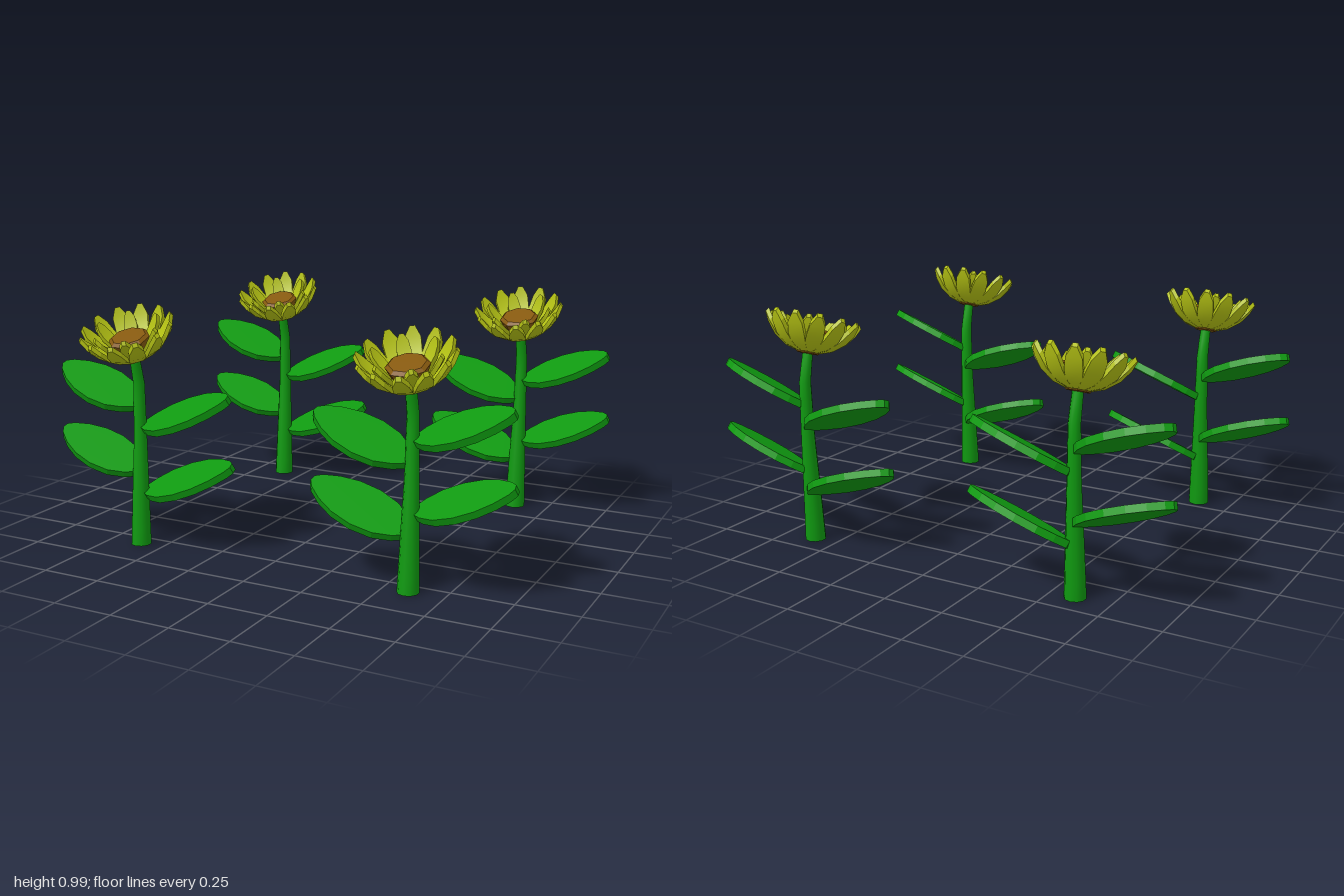
import * as THREE from 'three';
import { toCreasedNormals } from 'three/addons/utils/BufferGeometryUtils.js';

const mat = (name, color) => {
  const m = new THREE.MeshStandardMaterial({ color });
  m.name = name;
  return m;
};

function part(name, geometry, material) {
  const mesh = new THREE.Mesh(geometry, material);
  mesh.name = name;
  return mesh;
}

// Piecewise linear lookup through rows [t, a, b, ...]
function sample(rows, t) {
  let i = 0;
  while (i < rows.length - 2 && t > rows[i + 1][0]) i++;
  const k = (t - rows[i][0]) / (rows[i + 1][0] - rows[i][0]);
  return rows[i].map((v, j) => v + (rows[i + 1][j] - v) * k);
}

// Tapered stem that leans back, then nods forward under the head
function stemGeometry() {
  const rows = [[0, 0, 0.043], [0.22, -0.009, 0.036], [0.45, -0.02, 0.028], [0.68, -0.023, 0.024], [0.81, 0.006, 0.021]];
  const g = new THREE.CylinderGeometry(1, 1, 0.81, 10, 12);
  const p = g.attributes.position;
  for (let i = 0; i < p.count; i++) {
    const y = p.getY(i) + 0.405;
    const [, z, r] = sample(rows, y);
    p.setXYZ(i, p.getX(i) * r, y, p.getZ(i) * r + z);
  }
  return toCreasedNormals(g, 0.9);
}

// Thick oval leaf from root to tip, its blade tilted to the front
function leafGeometry(root, tip, halfWidth) {
  const along = tip.clone().sub(root);
  const length = along.length();
  along.normalize();
  const normal = along.clone().cross(new THREE.Vector3(0, 0.45, -1)).normalize();
  if (normal.y < 0) normal.negate();
  const across = normal.clone().cross(along);

  const outline = [[0, 0.18], [0.1, 0.55], [0.25, 0.87], [0.45, 1], [0.65, 0.92], [0.82, 0.68], [0.95, 0.36], [1, 0.12]];
  const points = [
    ...outline.map(([t, w]) => new THREE.Vector2(t * length, -w * halfWidth)),
    ...outline.slice().reverse().map(([t, w]) => new THREE.Vector2(t * length, w * halfWidth)),
  ];
  const g = new THREE.ExtrudeGeometry(new THREE.Shape(points), { depth: 0.03, bevelEnabled: false });
  g.translate(0, 0, -0.03);
  g.applyMatrix4(new THREE.Matrix4().makeBasis(along, across, normal).setPosition(root));
  return g;
}

// Cupped petal; rows are [t, radius, height, half width]
function petalGeometry(rows) {
  const g = new THREE.BoxGeometry(2, 0.016, 1, 1, 1, rows.length - 1);
  const p = g.attributes.position;
  for (let i = 0; i < p.count; i++) {
    const [, r, h, w] = sample(rows, p.getZ(i) + 0.5);
    p.setXYZ(i, p.getX(i) * w, p.getY(i) + h, r - p.getY(i) * 0.6);
  }
  return toCreasedNormals(g, 0.4);
}

export function createModel() {
  const green = mat('leaf green', 0x0f9910);
  const yellow = mat('petal yellow', 0xb4c214);
  const brown = mat('seed brown', 0x86590f);

  const stem = stemGeometry();
  const outerPetal = petalGeometry([[0, 0.03, 0, 0.014], [0.25, 0.085, 0.018, 0.027], [0.5, 0.135, 0.055, 0.034], [0.75, 0.168, 0.097, 0.03], [1, 0.187, 0.132, 0.01]]);
  const innerPetal = petalGeometry([[0, 0.04, 0.015, 0.014], [0.25, 0.08, 0.04, 0.022], [0.5, 0.108, 0.075, 0.027], [0.75, 0.128, 0.105, 0.022], [1, 0.14, 0.128, 0.008]]);
  const seedProfile = [[0, -0.014], [0.045, -0.01], [0.064, 0.03], [0.084, 0.078], [0.07, 0.09], [0, 0.094]];
  const seeds = toCreasedNormals(
    new THREE.LatheGeometry(seedProfile.map(([x, y]) => new THREE.Vector2(x, y)), 8), 0.3);

  function flowerHead() {
    const head = new THREE.Group();
    head.name = 'flowerHead';
    const disc = part('seedDisc', seeds, brown);
    disc.rotation.y = Math.PI / 8;
    head.add(disc);
    const ring = (name, geometry, count, offset) => {
      for (let i = 0; i < count; i++) {
        const petal = part(name, geometry, yellow);
        petal.rotation.y = ((i + offset) / count) * Math.PI * 2;
        head.add(petal);
      }
    };
    ring('outerPetal', outerPetal, 12, 0.5);
    ring('innerPetal', innerPetal, 6, 0.5);
    head.position.set(0, 0.795, 0.005);
    head.rotation.x = 0.35;
    return head;
  }

  // One plant; side is the x direction of its outer leaves
  function plant(side) {
    const g = new THREE.Group();
    g.name = 'flowerPlant';
    g.add(part('stem', stem, green), flowerHead());
    for (const [drop, reach] of [[0, 0], [0.275, 0.013]]) {
      const v = (x, y, z) => new THREE.Vector3(x * side, y - drop, z);
      g.add(part('outerLeaf', leafGeometry(v(0.005, 0.59, -0.02), v(0.382 + reach, 0.73, -0.03), 0.104), green));
      g.add(part('innerLeaf', leafGeometry(v(-0.005, 0.505, -0.025), v(-0.408 - reach, 0.655, -0.037), 0.11), green));
    }
    return g;
  }

  // Four plants at the corners, mirrored left to right
  const model = new THREE.Group();
  model.name = 'flowers';
  for (const side of [-1, 1]) {
    for (const z of [0.565, -0.645]) {
      const p = plant(side);
      p.position.set(0.605 * side, 0, z);
      model.add(p);
    }
  }
  return model;
}
